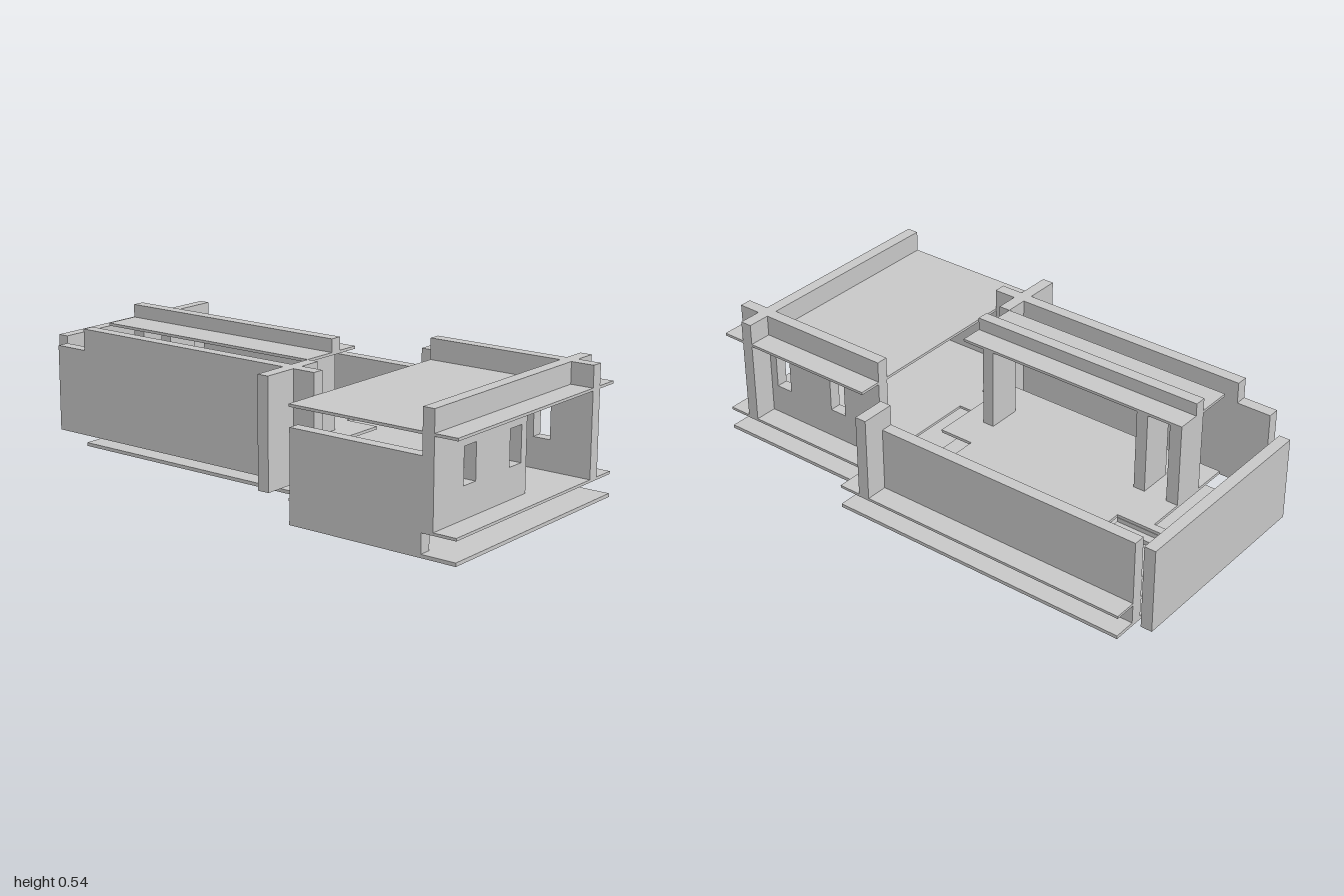
import * as THREE from 'three';

const material = new THREE.MeshStandardMaterial({ color: 0xcccccc, flatShading: true });

export function createModel() {
  const house = new THREE.Group();
  house.name = 'house';

  const add = (name, geometry) => {
    const mesh = new THREE.Mesh(geometry, material);
    mesh.name = name;
    house.add(mesh);
    return mesh;
  };

  // Box given by its limits on each axis
  const box = (name, x0, x1, y0, y1, z0, z1) => {
    const mesh = add(name, new THREE.BoxGeometry(x1 - x0, y1 - y0, z1 - z0));
    mesh.position.set((x0 + x1) / 2, (y0 + y1) / 2, (z0 + z1) / 2);
  };

  const rect = (a0, a1, b0, b1) => [[a0, b0], [a1, b0], [a1, b1], [a0, b1]];
  const toPoints = (list) => list.map(([a, b]) => new THREE.Vector2(a, b));
  const extrude = (outline, holes, depth) => {
    const shape = new THREE.Shape(toPoints(outline));
    holes.forEach((h) => shape.holes.push(new THREE.Path(toPoints(h))));
    return new THREE.ExtrudeGeometry(shape, { depth, bevelEnabled: false });
  };

  // Horizontal slab from an outline in (x, z)
  const slab = (name, outline, holes, y0, y1) => {
    const flip = (list) => list.map(([x, z]) => [x, -z]);
    const g = extrude(flip(outline), holes.map(flip), y1 - y0);
    add(name, g.rotateX(-Math.PI / 2).translate(0, y0, 0));
  };

  const FLOOR = 0.093, RAISED = 0.174, LOW = 0.335, MID = 0.413, HIGH = 0.493;

  // Ground plate and main floor share one stepped plan
  const plan = [[-0.533, 1], [0.398, 1], [0.398, 0.332], [0.53, 0.332],
    [0.53, -0.868], [-0.268, -0.868], [-0.268, 0.332], [-0.533, 0.332]];
  slab('groundPlate', plan, [], 0, 0.013);
  slab('mainFloor', plan, [rect(-0.136, 0.134, 0.2, 0.331)], 0.083, FLOOR);

  // Raised floor, notched at the entry, the rear corner and the stairwell
  slab('raisedFloor', [[-0.268, 0.2], [0.128, 0.2], [0.128, 0.063], [0.265, 0.063],
    [0.265, 0.2], [0.4, 0.2], [0.4, -0.868], [0.265, -0.868], [0.265, -0.605],
    [0.165, -0.605], [0.165, -0.868], [0.134, -0.868], [0.134, -0.735],
    [-0.268, -0.735]], [], 0.163, RAISED);

  // Stairs going down toward +x
  for (let i = 0; i < 4; i++) {
    const x = 0.134 + i * 0.0328;
    box('stairStep', x, x + 0.0328, FLOOR, 0.163 - i * 0.0165, -0.868, -0.605);
  }

  // Front wing: roof, front wall with doorway and windows, side wall with windows
  slab('wingRoof', rect(-0.533, 0.398, 0.332, 1), [], 0.404, 0.414);
  const sill = 0.206, head = 0.337;
  const front = [[-0.533, FLOOR], [-0.003, FLOOR], [-0.003, 0.404], [0.265, 0.404],
    [0.265, FLOOR], [0.398, FLOOR], [0.398, HIGH], [-0.533, HIGH]];
  add('wingFrontWall', extrude(front,
    [rect(-0.368, -0.3, sill, head), rect(-0.103, -0.035, sill, head)], 0.045).translate(0, 0, 0.867));
  add('wingSideWall', extrude(rect(-1, -0.332, FLOOR, HIGH),
    [rect(-0.837, -0.77, sill, head), rect(-0.57, -0.502, sill, head)], 0.045)
    .rotateY(Math.PI / 2).translate(0.265, 0, 0));

  // Low walls standing on the ground plate
  box('wingLowWall', -0.533, -0.488, 0.013, LOW, 0.335, 0.867);
  box('lowSideWall', 0.4, 0.445, 0.013, LOW, -0.868, 0.2);
  box('lowSideWallReturn', 0.398, 0.53, FLOOR, MID, 0.2, 0.245);

  // Long outer wall with a lower rear end, and its cross wall
  box('outerWall', -0.4, -0.355, FLOOR, HIGH, -0.735, 0.332);
  box('outerWallRear', -0.4, -0.355, FLOOR, MID, -0.868, -0.735);
  box('outerCrossWall', -0.533, -0.268, FLOOR, HIGH, 0.2, 0.245);

  // Free-standing rear wall
  box('rearWall', -0.268, 0.53, FLOOR + 0.003, MID, -1, -0.957);

  // Narrow roof with its ridge beam, carried on three piers
  box('narrowRoof', -0.268, -0.004, 0.483, HIGH, -0.735, 0.2);
  box('ridgeBeam', -0.135, -0.09, HIGH, 0.541, -0.735, 0.2);
  for (const [z0, z1] of [[0.067, 0.112], [-0.598, -0.553], [-0.735, -0.688]])
    box('roofPier', -0.135, -0.004, RAISED, 0.483, z0, z1);

  return house;
}
